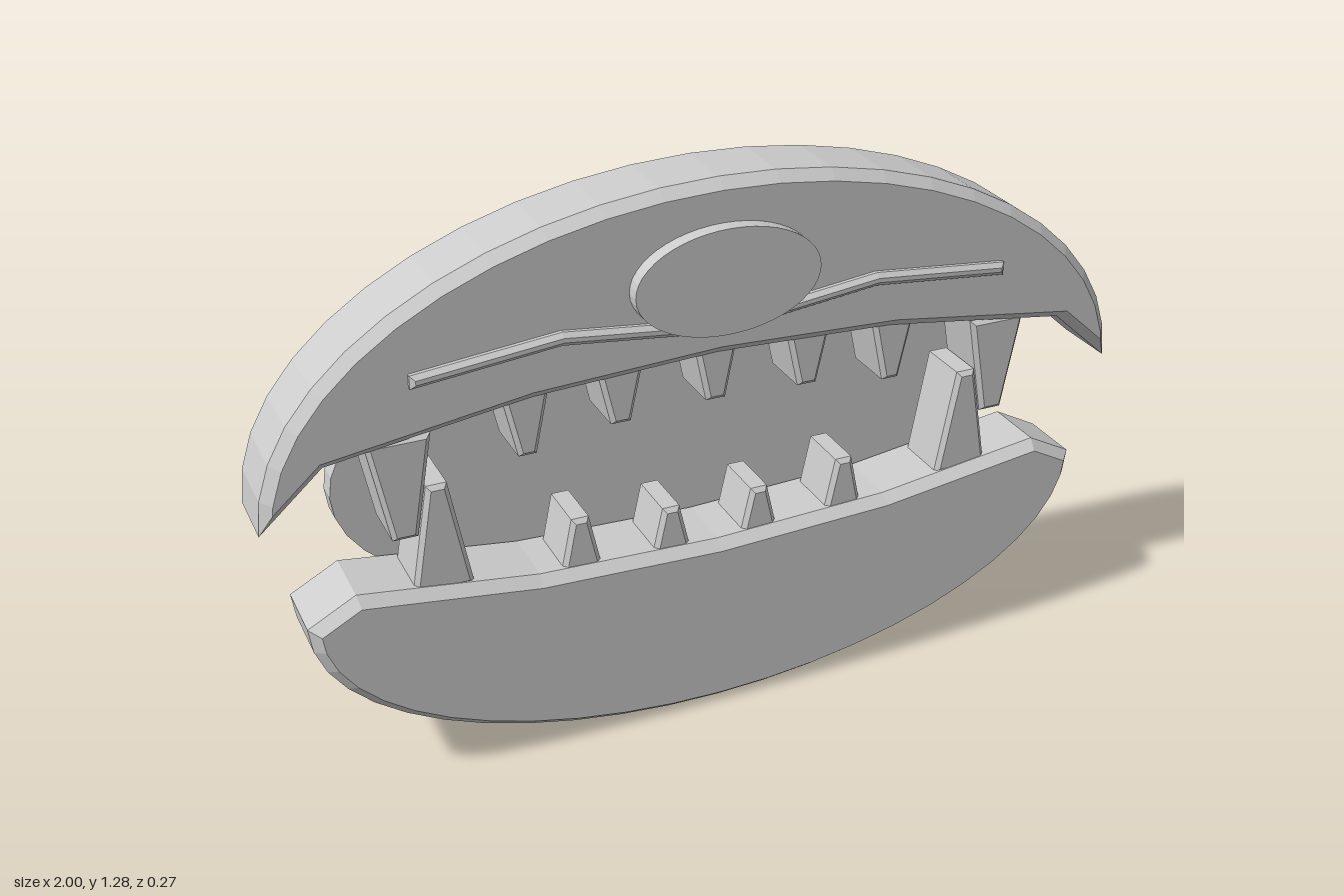
import * as THREE from 'three';

const grey = new THREE.MeshStandardMaterial({ color: 0xcccccc });
grey.name = 'lightGrey';
grey.flatShading = true;

// Points along an elliptical arc, angles in half turns
function arc(cx, cy, rx, ry, from, to, steps) {
  return Array.from({ length: steps + 1 }, (_, i) => {
    const a = Math.PI * (from + (to - from) * i / steps);
    return new THREE.Vector2(cx + rx * Math.cos(a), cy + ry * Math.sin(a));
  });
}
const ellipse = (cx, cy, rx, ry, n) => arc(cx, cy, rx, ry, 0, 2, n).slice(0, -1);
const pts = list => list.map(([x, y]) => new THREE.Vector2(x, y));

// Mitred inset of a counter-clockwise outline
function inset(outline, d) {
  const n = outline.length;
  return outline.map((p, i) => {
    const a = p.clone().sub(outline[(i + n - 1) % n]).normalize();
    const b = outline[(i + 1) % n].clone().sub(p).normalize();
    const na = new THREE.Vector2(-a.y, a.x), nb = new THREE.Vector2(-b.y, b.x);
    const k = d / (1 + na.dot(nb));
    return p.clone().add(na.add(nb).multiplyScalar(k));
  });
}

// Flat slab with a bevel on its front edge only
function slab(name, outline, z0, z1, bevel = 0, depth = bevel) {
  if (THREE.ShapeUtils.isClockWise(outline)) outline = [...outline].reverse();
  const rings = [[outline, z0], [outline, z1 - depth]];
  if (bevel) rings.push([inset(outline, bevel), z1]);
  const pos = [], n = outline.length;
  const put = ([ring, z], i) => pos.push(ring[i % n].x, ring[i % n].y, z);
  for (let r = 0; r < rings.length - 1; r++) {
    const lo = rings[r], hi = rings[r + 1];
    for (let i = 0; i < n; i++) {
      put(lo, i); put(lo, i + 1); put(hi, i + 1);
      put(lo, i); put(hi, i + 1); put(hi, i);
    }
  }
  const front = rings[rings.length - 1];
  for (const [a, b, c] of THREE.ShapeUtils.triangulateShape(outline, [])) {
    put(front, a); put(front, b); put(front, c);
    put(rings[0], a); put(rings[0], c); put(rings[0], b);
  }
  const geo = new THREE.BufferGeometry();
  geo.setAttribute('position', new THREE.Float32BufferAttribute(pos, 3));
  geo.computeVertexNormals();
  const mesh = new THREE.Mesh(geo, grey);
  mesh.name = name;
  return mesh;
}

// Tapered tooth from a wide root to a narrow tip
function tooth(name, x, rootY, tipY, rootW, tipW) {
  const outline = pts([[x - rootW / 2, rootY], [x + rootW / 2, rootY],
    [x + tipW / 2, tipY], [x - tipW / 2, tipY]]);
  return slab(name, outline, -0.06, 0.072, 0.01);
}

export function createModel() {
  const model = new THREE.Group();
  model.name = 'toothyMouth';

  // Jaws
  model.add(slab('upperJaw', [
    ...arc(0, 0.685, 1, 0.6, 0, 1, 24),
    ...pts([[-0.86, 0.81], [-0.42, 0.873], [0, 0.892], [0.42, 0.873], [0.86, 0.81]]),
  ], -0.074, 0.099, 0.022, 0.025));
  model.add(slab('lowerJaw', [
    ...arc(0, 0.443, 0.927, 0.44, 1, 2, 24),
    ...pts([[0.82, 0.5], [0.42, 0.446], [0, 0.43], [-0.42, 0.446], [-0.82, 0.5]]),
  ], -0.074, 0.099, 0.022, 0.025));

  // Back of the mouth
  model.add(slab('backDisc', ellipse(0, 0.645, 0.82, 0.37, 48), -0.133, -0.083));

  // Nose
  model.add(slab('nose', ellipse(0, 1.075, 0.21, 0.118, 48), 0.09, 0.133));

  // Teeth and lip creases, mirrored
  model.add(tooth('upperMiddleTooth', 0, 0.91, 0.775, 0.1, 0.045));
  for (const s of [1, -1]) {
    const side = s > 0 ? 'left' : 'right';
    model.add(tooth(side + 'UpperFang', s * 0.703, 0.835, 0.6, 0.14, 0.055));
    model.add(tooth(side + 'LowerFang', s * 0.63, 0.46, 0.712, 0.135, 0.045));
    model.add(tooth(side + 'UpperOuterTooth', s * 0.43, 0.885, 0.735, 0.105, 0.04));
    model.add(tooth(side + 'UpperInnerTooth', s * 0.22, 0.9, 0.765, 0.105, 0.045));
    model.add(tooth(side + 'LowerOuterTooth', s * 0.32, 0.425, 0.555, 0.095, 0.04));
    model.add(tooth(side + 'LowerInnerTooth', s * 0.107, 0.42, 0.53, 0.09, 0.04));
    model.add(slab(side + 'LipCrease', pts([
      [s * 0.68, 0.96], [s * 0.36, 0.992], [s * 0.08, 0.96],
      [s * 0.08, 0.99], [s * 0.36, 1.022], [s * 0.68, 0.99],
    ]), 0.09, 0.118, 0.01));
  }
  return model;
}
